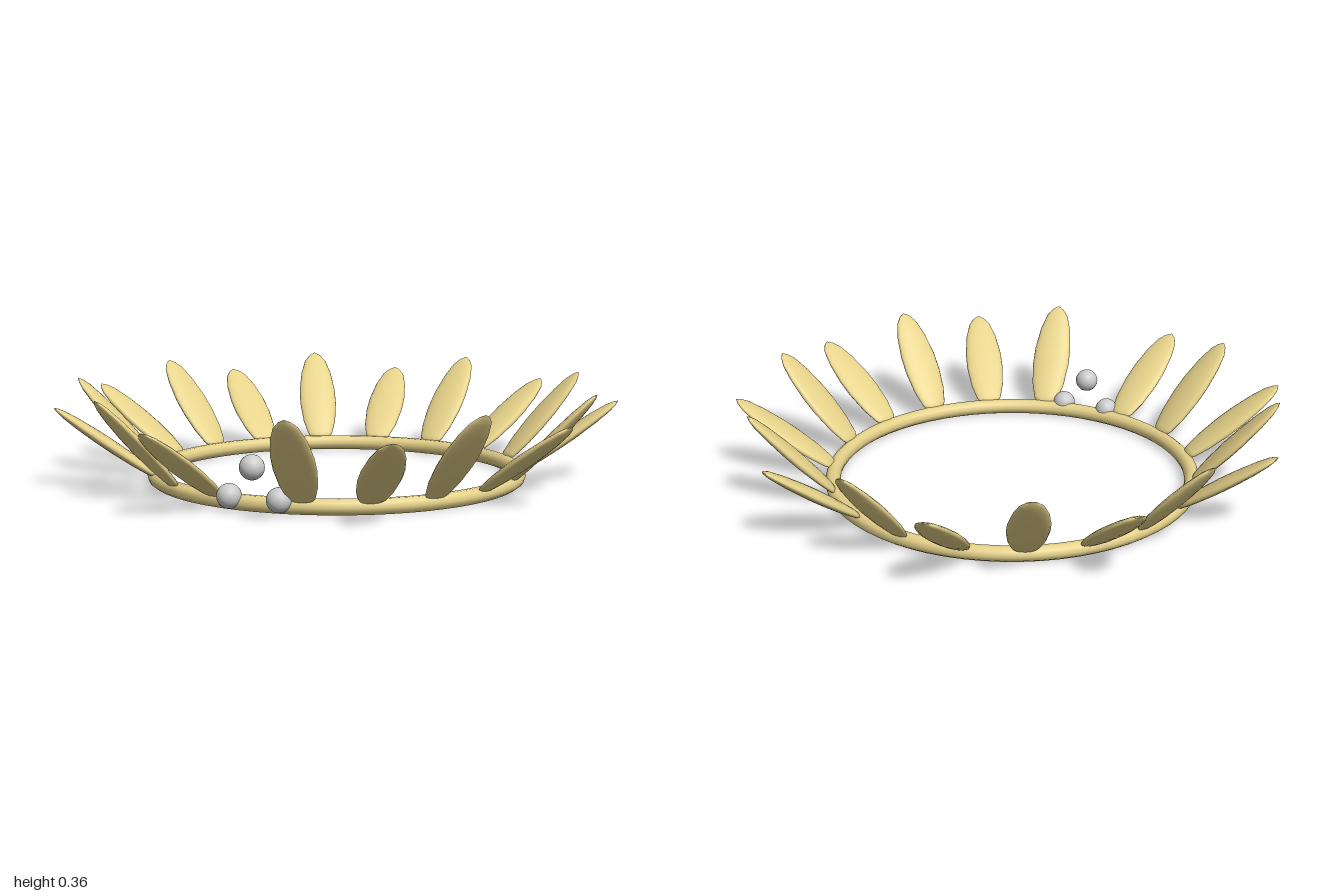
import * as THREE from 'three';

const gold = new THREE.MeshStandardMaterial({ color: 0xe6d28a });
const grey = new THREE.MeshStandardMaterial({ color: 0xcccccc });

const CENTRE_X = 0.02;
const LEAF_COUNT = 18;
const FRONT_GAP = THREE.MathUtils.degToRad(28);

// Unit-length leaf: a turned profile along +y, flattened in z
function leafGeometry() {
  const profile = [
    [0, 0], [0.034, 0.008], [0.048, 0.06], [0.064, 0.2], [0.073, 0.4],
    [0.072, 0.56], [0.06, 0.76], [0.042, 0.9], [0.022, 0.965], [0, 1],
  ].map(([r, y]) => new THREE.Vector2(r, y));
  return new THREE.LatheGeometry(profile, 16).scale(1, 1, 0.29);
}

export function createModel() {
  const model = new THREE.Group();
  model.name = 'leafCrown';

  const crown = new THREE.Group();
  crown.position.x = CENTRE_X;
  model.add(crown);

  // Circular band
  const band = new THREE.Mesh(new THREE.TorusGeometry(0.662, 0.028, 10, 64), gold);
  band.name = 'band';
  band.rotation.x = Math.PI / 2;
  band.position.y = 0.028;
  crown.add(band);

  // Leaves around the band, alternately low and steep, with a gap at the front
  const geometry = leafGeometry();
  const step = (Math.PI * 2 - FRONT_GAP) / (LEAF_COUNT - 1);
  const baseRadius = 0.667, baseY = 0.042;
  for (let i = 0; i < LEAF_COUNT; i++) {
    const steep = i % 2 === 0;
    const out = (steep ? 0.963 : 1.02) - baseRadius;
    const rise = (steep ? 0.36 : 0.295) - baseY;
    const pivot = new THREE.Group();
    pivot.name = steep ? 'steepLeaf' : 'lowLeaf';
    pivot.rotation.y = FRONT_GAP / 2 + i * step;
    const leaf = new THREE.Mesh(geometry, gold);
    leaf.position.set(0, baseY, baseRadius);
    leaf.rotation.x = Math.atan2(out, rise);
    leaf.scale.y = Math.hypot(out, rise);
    pivot.add(leaf);
    crown.add(pivot);
  }

  // Three beads in the front gap
  const bead = new THREE.SphereGeometry(0.043, 20, 14);
  [['rightBead', -0.092, 0.05, 0.68], ['leftBead', 0.092, 0.05, 0.68], ['topBead', 0, 0.155, 0.692]]
    .forEach(([name, x, y, z]) => {
      const mesh = new THREE.Mesh(bead, grey);
      mesh.name = name;
      mesh.position.set(x, y, z);
      crown.add(mesh);
    });

  return model;
}
